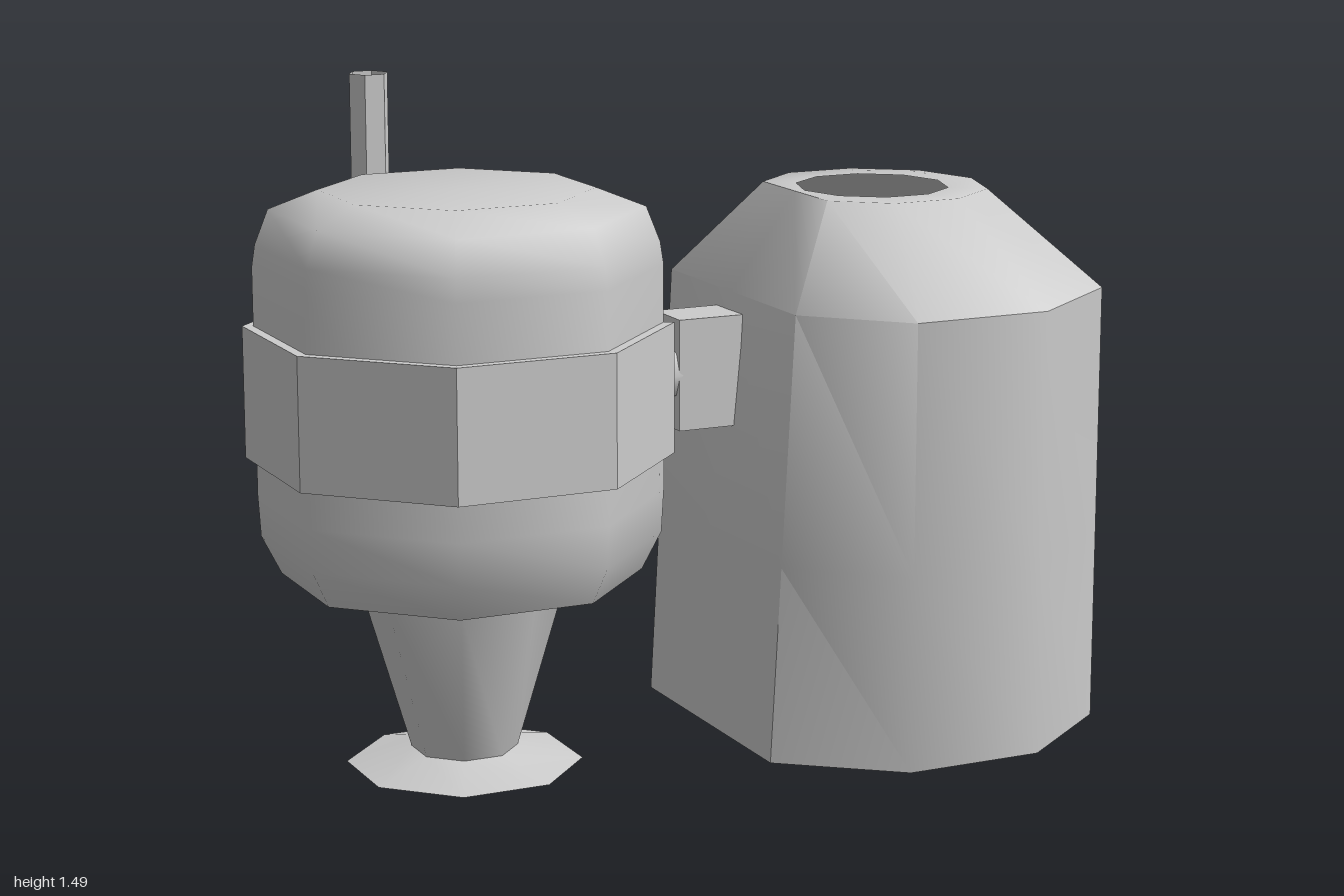
import * as THREE from 'three';
import { toCreasedNormals } from 'three/addons/utils/BufferGeometryUtils.js';

const CX = -0.555, CZ = 0.093;       // axis of the vessel
const OCT = 1 / Math.cos(Math.PI / 8); // flat-to-flat half width -> corner radius

export function createModel() {
  const model = new THREE.Group();
  const mat = new THREE.MeshStandardMaterial({ color: 0xcccccc, side: THREE.DoubleSide });

  function add(name, geo, x = 0, y = 0, z = 0, parent = model) {
    const m = new THREE.Mesh(geo, mat);
    m.name = name;
    m.position.set(x, y, z);
    parent.add(m);
    return m;
  }
  const box = (w, h, d) => new THREE.BoxGeometry(w, h, d);

  // Revolved profile of [half width, y] pairs with eight flat sides
  function octLathe(profile, crease) {
    const pts = profile.map(([a, y]) => new THREE.Vector2(a * OCT, y));
    return toCreasedNormals(new THREE.LatheGeometry(pts, 8, Math.PI / 8), crease);
  }

  // Corner points of an octagon with the given half width
  function octCorners(a, first, count) {
    return Array.from({ length: count }, (_, i) => {
      const t = Math.PI / 8 + (first + i) * Math.PI / 4;
      return new THREE.Vector2(Math.cos(t) * a * OCT, Math.sin(t) * a * OCT);
    });
  }

  // Vessel with rounded shoulders
  add('vessel', octLathe([
    [0.37, 0.44], [0.41, 0.525], [0.415, 0.62], [0.415, 1.13],
    [0.408, 1.18], [0.38, 1.258], [0.28, 1.3], [0, 1.3],
  ], 1.1), CX, 0, CZ);

  // Underside, tapered spout and its foot flange
  add('vesselUnderside', octLathe([[0.21, 0.4], [0.37, 0.44]], 0.7), CX, 0, CZ);
  add('spout', octLathe([[0.11, 0.033], [0.21, 0.405]], 0.9), CX, 0, CZ);
  add('footFlange', octLathe([[0.11, 0], [0.245, 0], [0.11, 0.035]], 0.9), CX, 0, CZ);

  // Band around seven sides of the vessel, open towards the tank
  const bandShape = new THREE.Shape([
    ...octCorners(0.4375, 0, 8),
    ...octCorners(0.41, 0, 8).reverse(),
  ]);
  const bandGeo = new THREE.ExtrudeGeometry(bandShape, { depth: 0.295, bevelEnabled: false });
  bandGeo.rotateX(Math.PI / 2);
  add('band', bandGeo, CX, 1.0, CZ);

  // Tank: ten sides, open at both ends, its inner side flattened
  const tankProfile = [[0.53, 0], [0.53, 0.45], [0.53, 1.02], [0.265, 1.24], [0.175, 1.24]];
  const tankGeo = new THREE.LatheGeometry(
    tankProfile.map(([r, y]) => new THREE.Vector2(r, y)), 10, Math.PI / 10);
  tankGeo.scale(1, 1, 1.02);
  const p = tankGeo.attributes.position;
  for (let i = 0; i < p.count; i++) {
    const y = p.getY(i);
    const middle = Math.abs(p.getZ(i)) < 0.01;
    let limit = 0.055 + 0.055 * y / 1.02;
    if (middle && y < 0.5) limit = 0.055;
    if (y > 1.1) limit = 0.27;
    p.setX(i, Math.max(p.getX(i), limit - 0.47));
  }
  add('tank', toCreasedNormals(tankGeo, 0.8), 0.47, 0, CZ + 0.002);

  // Connection between vessel and tank
  const neck = new THREE.CylinderGeometry(0.065, 0.1, 0.12, 8, 1, true);
  neck.rotateZ(-Math.PI / 2);
  add('connectorNeck', neck, -0.1, 0.85, CZ);
  add('connectorBox', box(0.2, 0.255, 0.13), 0.05, 0.85, CZ);

  // Bent six-sided outlet pipe at the back
  const v = (y, z) => new THREE.Vector3(CX + 0.015, y, z);
  const path = new THREE.CurvePath();
  path.add(new THREE.LineCurve3(v(1.08, -0.28), v(1.085, -0.37)));
  path.add(new THREE.QuadraticBezierCurve3(v(1.085, -0.37), v(1.09, -0.47), v(1.2, -0.49)));
  path.add(new THREE.LineCurve3(v(1.2, -0.49), v(1.488, -0.49)));
  add('outletPipe', toCreasedNormals(new THREE.TubeGeometry(path, 16, 0.047, 6, false), 0.8));

  // Valve: block, stem and octagonal hand wheel with four spokes
  const valve = new THREE.Group();
  valve.name = 'valve';
  valve.position.set(CX, 0.85, 0);
  model.add(valve);
  add('valveBlock', box(0.11, 0.1, 0.12), 0, 0, -0.38, valve);
  add('valveStem', box(0.07, 0.05, 0.18), 0, 0, -0.522, valve);
  const rim = new THREE.Shape(octCorners(0.153, 0, 8));
  rim.holes.push(new THREE.Path(octCorners(0.128, 0, 8)));
  add('wheelRim', new THREE.ExtrudeGeometry(rim, { depth: 0.042, bevelEnabled: false }), 0, 0, -0.592, valve);
  for (const turn of [0, Math.PI / 2]) {
    add('wheelSpoke', box(0.27, 0.022, 0.022), 0, 0, -0.571, valve).rotation.z = turn;
  }
  return model;
}
